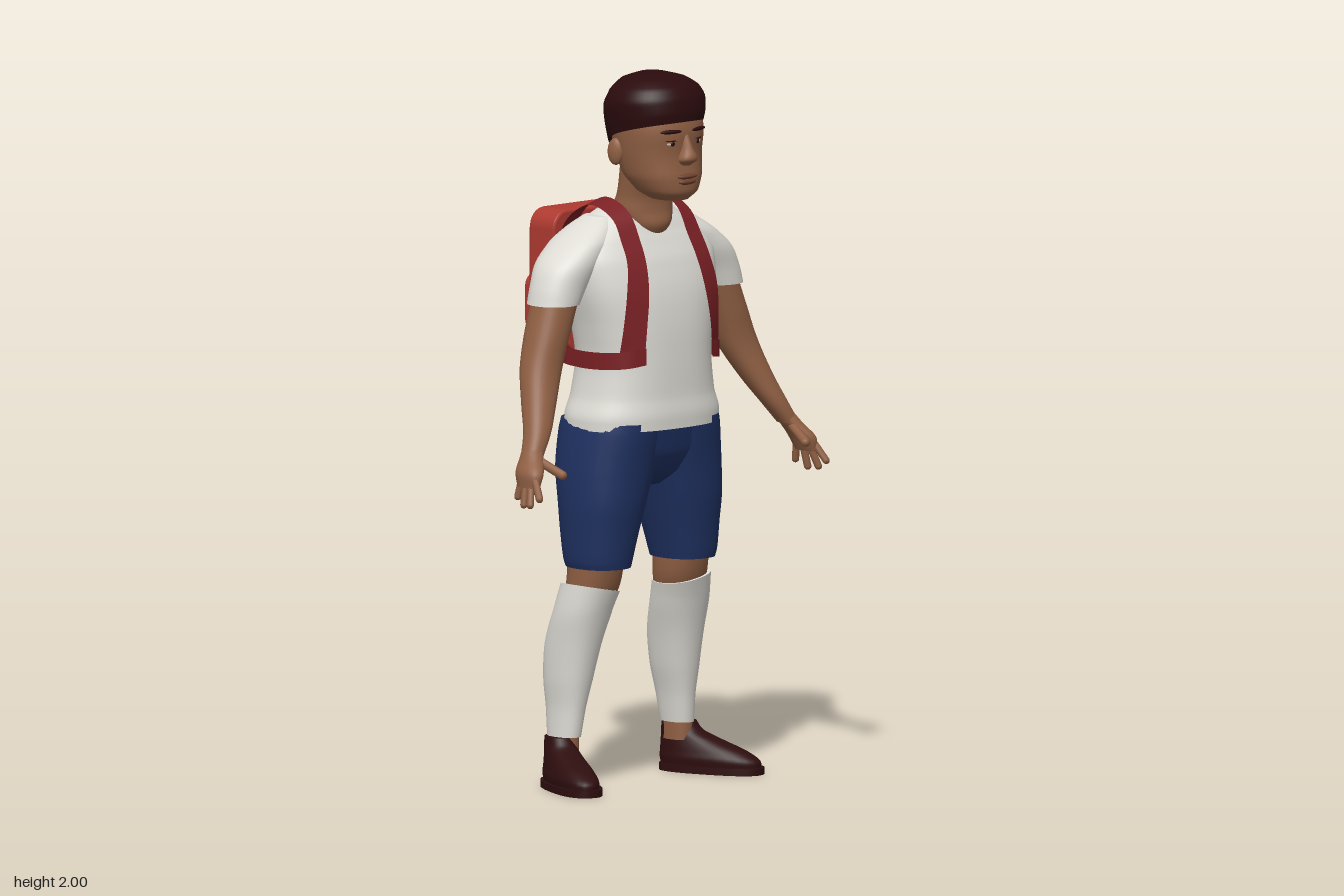
import * as THREE from 'three';

const mat = (name, color, side = THREE.FrontSide) => {
  const m = new THREE.MeshStandardMaterial({ color, side });
  m.name = name;
  return m;
};

// Smooth body through horizontal oval rings, listed bottom to top: [y, x0, x1, z0, z1]
function loft(rings, { s = 1, e = 0.9, n = 32, steps = 5, rule = null } = {}) {
  const centre = new THREE.CatmullRomCurve3(rings.map(([y, a, b, c, d]) =>
    new THREE.Vector3(s * (a + b) / 2, y, (c + d) / 2)));
  const size = new THREE.CatmullRomCurve3(rings.map(([, a, b, c, d]) =>
    new THREE.Vector3((b - a) / 2, 0, (d - c) / 2)));
  const rows = (rings.length - 1) * steps;
  const pos = [], idx = [];
  const bend = (v) => Math.sign(v) * Math.abs(v) ** e;
  const addRing = (t) => {
    const c = centre.getPoint(t), r = size.getPoint(t);
    for (let j = 0; j < n; j++) {
      const a = (j / n) * Math.PI * 2;
      const p = new THREE.Vector3(c.x + r.x * bend(Math.cos(a)), c.y, c.z + r.z * bend(Math.sin(a)));
      if (rule) rule(p);
      pos.push(p.x, p.y, p.z);
    }
    return c;
  };
  for (let i = 0; i <= rows; i++) addRing(i / rows);
  for (let i = 0; i < rows; i++) {
    for (let j = 0; j < n; j++) {
      const a = i * n + j, b = i * n + (j + 1) % n;
      idx.push(a, a + n, b, b, a + n, b + n);
    }
  }
  // Closing caps with their own corners, so the rims stay sharp
  for (const t of [0, 1]) {
    const start = pos.length / 3;
    const c = addRing(t);
    if (rule) rule(c);
    pos.push(c.x, c.y, c.z);
    for (let j = 0; j < n; j++) {
      const a = start + j, b = start + (j + 1) % n;
      idx.push(start + n, t ? b : a, t ? a : b);
    }
  }
  const g = new THREE.BufferGeometry();
  g.setAttribute('position', new THREE.Float32BufferAttribute(pos, 3));
  g.setIndex(idx);
  g.computeVertexNormals();
  return g;
}

// Flat band between two edge curves
function ribbon(edgeA, edgeB, s, steps = 40) {
  const curve = (pts) => new THREE.CatmullRomCurve3(pts.map(([x, y, z]) => new THREE.Vector3(s * x, y, z)));
  const a = curve(edgeA), b = curve(edgeB), pos = [], idx = [];
  for (let i = 0; i <= steps; i++) {
    pos.push(...a.getPoint(i / steps).toArray(), ...b.getPoint(i / steps).toArray());
    const k = i * 2;
    if (i < steps) idx.push(...(s > 0 ? [k, k + 2, k + 1, k + 1, k + 2, k + 3] : [k, k + 1, k + 2, k + 1, k + 3, k + 2]));
  }
  const g = new THREE.BufferGeometry();
  g.setAttribute('position', new THREE.Float32BufferAttribute(pos, 3));
  g.setIndex(idx);
  g.computeVertexNormals();
  return g;
}

// Rounded slab for the bag, from z0 (back) to z1
function slab(hw, y0, y1, z0, z1, r) {
  const b = 0.006, w = hw - b, lo = y0 + b, hi = y1 - b;
  const shape = new THREE.Shape();
  shape.moveTo(-w + r, lo).lineTo(w - r, lo).absarc(w - r, lo + r, r, -Math.PI / 2, 0);
  shape.absarc(w - r, hi - r, r, 0, Math.PI / 2).absarc(-w + r, hi - r, r, Math.PI / 2, Math.PI);
  shape.absarc(-w + r, lo + r, r, Math.PI, Math.PI * 1.5);
  return new THREE.ExtrudeGeometry(shape, {
    depth: z1 - z0 - 2 * b, bevelThickness: b, bevelSize: b, bevelSegments: 2, curveSegments: 8,
  }).translate(0, 0, z0 + b);
}

export function createModel() {
  const skin = mat('skin', 0x8f5f43), lip = mat('lip', 0x6e412f), eyeWhite = mat('eye white', 0xd2c8bc);
  const cloth = mat('white cloth', 0xdedcd5), navy = mat('navy cloth', 0x1f3161);
  const hairMat = mat('dark hair', 0x2b0b0d), leather = mat('dark leather', 0x2e0e0f);
  const strapMat = mat('dark red strap', 0x7a2024, THREE.DoubleSide), bagMat = mat('red bag', 0xae3a31);

  const model = new THREE.Group();
  const add = (name, geometry, material) => {
    const m = new THREE.Mesh(geometry, material);
    m.name = name;
    model.add(m);
    return m;
  };
  const ball = (name, material, p, r, turn = 0) => {
    const m = add(name, new THREE.SphereGeometry(1, 20, 14).scale(...r), material);
    m.position.set(...p);
    m.rotation.y = turn;
  };
  const sym = (rows) => rows.map(([y, x, z0, z1]) => [y, -x, x, z0, z1]);

  // Torso and hips
  add('shirt', loft(sym([[1.01, .232, -.08, .242], [1.04, .232, -.08, .243], [1.1, .213, -.07, .237],
    [1.2, .2, -.06, .235], [1.3, .215, -.065, .23], [1.4, .24, -.07, .215], [1.48, .25, -.07, .19],
    [1.54, .225, -.06, .16], [1.58, .165, -.05, .14], [1.605, .125, -.03, .125], [1.63, .09, 0, .11]]), { e: 0.8, n: 48 }), cloth);
  add('shortsSeat', loft(sym([[.84, .07, .0, .13], [.88, .15, -.055, .18], [.94, .225, -.072, .21],
    [1.03, .225, -.075, .228]]), { e: 0.85 }), navy);

  // Neck and head
  add('neck', loft(sym([[1.54, .05, 0, .15], [1.575, .075, .0, .165], [1.61, .088, .005, .158],
    [1.66, .084, .03, .16], [1.75, .09, .045, .2]])), skin);
  add('head', loft(sym([[1.652, .045, .14, .25], [1.675, .08, .1, .27], [1.72, .106, .06, .272],
    [1.78, .118, .035, .264], [1.85, .125, .02, .268], [1.92, .12, .02, .25], [1.97, .08, .05, .22]]), { e: 0.88 }), skin);
  add('nose', loft(sym([[1.752, .018, .23, .274], [1.77, .029, .23, .297], [1.8, .017, .23, .287],
    [1.84, .011, .23, .268]]), { n: 16 }), skin);
  ball('upperLip', lip, [0, 1.721, .268], [.036, .008, .014]);
  ball('lowerLip', lip, [0, 1.706, .268], [.032, .009, .013]);

  // Hair, with a hairline that climbs from nape to forehead
  const hairline = (p) => {
    const t = Math.min(1, Math.max(0, p.z / 0.27));
    const low = 1.768 + 0.107 * Math.sqrt(t) + (t < 0.15 ? 0.008 * Math.cos(p.x * 130) : 0);
    p.y = 2 - (2 - p.y) * (2 - low) / 0.23;
  };
  add('hair', loft(sym([[1.77, .126, .008, .27], [1.82, .134, .0, .273], [1.88, .139, -.002, .268],
    [1.94, .122, .015, .25], [1.98, .085, .045, .215], [2, .035, .09, .17]]), { n: 48, rule: hairline }), hairMat);

  for (const s of [1, -1]) {
    const side = s > 0 ? 'left' : 'right';

    // Face
    ball(side + 'Eye', eyeWhite, [s * .047, 1.815, .2545], [.019, .007, .006], s * .25);
    ball(side + 'Pupil', hairMat, [s * .047, 1.815, .259], [.007, .007, .004], s * .25);
    ball(side + 'Eyelid', hairMat, [s * .047, 1.823, .256], [.022, .003, .006], s * .25);
    ball(side + 'Eyebrow', hairMat, [s * .052, 1.849, .258], [.034, .006, .007], s * .27);
    ball(side + 'Ear', skin, [s * .121, 1.785, .105], [.014, .038, .024], s * -.3);

    // Arm and sleeve
    add(side + 'Sleeve', loft([[1.37, .24, .378, -.02, .128], [1.42, .21, .365, -.025, .13],
      [1.48, .16, .335, -.04, .135], [1.53, .12, .278, -.045, .13], [1.57, .1, .215, -.03, .11],
      [1.6, .09, .16, -.005, .08]], { s }), cloth);
    add(side + 'Arm', loft([[.97, .455, .513, .125, .188], [1.03, .41, .485, .1, .175], [1.1, .365, .46, .06, .152],
      [1.2, .31, .43, .015, .125], [1.3, .27, .395, -.005, .12], [1.4, .23, .36, -.01, .115]], { s }), skin);

    // Hand
    add(side + 'Palm', loft([[.89, .508, .542, .145, .228], [.93, .488, .542, .132, .228],
      [.965, .465, .52, .126, .2], [.99, .448, .505, .122, .182]], { s, n: 20 }), skin);
    const fingers = [[[.48, .96, .18], [.46, .925, .255]], [[.528, .91, .218], [.542, .865, .25]],
      [[.528, .9, .2], [.545, .845, .215]], [[.525, .9, .175], [.537, .842, .18]], [[.52, .905, .152], [.525, .86, .143]]];
    fingers.forEach(([a, b], i) => {
      const from = new THREE.Vector3(s * a[0], a[1], a[2]), to = new THREE.Vector3(s * b[0], b[1], b[2]);
      const dir = to.clone().sub(from);
      const f = add(side + (i ? 'Finger' + i : 'Thumb'), new THREE.CapsuleGeometry(i ? .0105 : .013, dir.length(), 4, 10), skin);
      f.position.copy(from).add(to).multiplyScalar(0.5);
      f.quaternion.setFromUnitVectors(new THREE.Vector3(0, 1, 0), dir.normalize());
    });

    // Leg, from shorts to shoe
    add(side + 'ShortsLeg', loft([[.62, .078, .24, -.02, .172], [.64, .073, .246, -.025, .176], [.72, .052, .252, -.04, .187],
      [.8, .03, .256, -.052, .2], [.9, .0, .252, -.075, .21], [1.0, -.02, .236, -.082, .225], [1.03, -.02, .228, -.08, .228]], { s }), navy);
    add(side + 'Knee', loft([[.5, .11, .24, -.025, .105], [.57, .09, .238, -.012, .132], [.66, .085, .235, -.01, .15]], { s }), skin);
    add(side + 'Sock', loft([[.14, .178, .25, -.06, .05], [.22, .165, .25, -.07, .06], [.3, .145, .258, -.08, .075],
      [.4, .125, .262, -.075, .095], [.5, .103, .262, -.04, .12], [.56, .093, .252, -.022, .137]],
    { s, rule: (p) => { if (p.y > .5) p.y += (s * p.x - .17) * .2 * (p.y - .5) / .06; } }), cloth);
    add(side + 'Ankle', loft([[.09, .182, .25, -.055, .045], [.155, .184, .246, -.054, .044]], { s }), skin);

    // Shoe, turned outward
    const shoe = new THREE.Group();
    shoe.name = side + 'Shoe';
    shoe.position.set(s * .265, 0, .08);
    shoe.rotation.y = s * .39;
    model.add(shoe);
    const upper = new THREE.Mesh(loft(sym([[.015, .056, -.152, .15], [.035, .059, -.155, .148], [.06, .054, -.154, .11],
      [.09, .046, -.152, .03], [.115, .041, -.15, -.03], [.14, .037, -.148, -.05]])), leather);
    upper.name = side + 'ShoeUpper';
    const sole = new THREE.Mesh(loft(sym([[0, .064, -.155, .157], [.02, .064, -.155, .157]]), { e: 0.8, steps: 1 }), leather);
    sole.name = side + 'Sole';
    shoe.add(upper, sole);

    // Shoulder strap, from the bag over the shoulder and down the chest
    add(side + 'ShoulderStrap', ribbon(
      [[.1, 1.52, -.09], [.095, 1.575, -.072], [.09, 1.625, -.025], [.09, 1.647, .04], [.09, 1.612, .128],
        [.09, 1.54, .172], [.095, 1.48, .203], [.105, 1.4, .226], [.12, 1.3, .234], [.128, 1.21, .232]],
      [[.15, 1.52, -.09], [.155, 1.562, -.072], [.152, 1.608, -.025], [.15, 1.63, .04], [.147, 1.597, .122],
        [.15, 1.54, .16], [.155, 1.48, .191], [.17, 1.4, .206], [.18, 1.3, .202], [.188, 1.21, .19]], s), strapMat);

    // Lower strap, around the ribs to the bag
    const path = [[.125, 1.222, .236], [.167, 1.215, .217], [.197, 1.21, .18], [.214, 1.207, .12],
      [.216, 1.207, .05], [.206, 1.212, -.02], [.162, 1.232, -.068], [.12, 1.24, -.09]];
    add(side + 'LowerStrap', ribbon(path.map(([x, y, z]) => [x, y + .024, z]),
      path.map(([x, y, z]) => [x, y - .024, z]), s), strapMat);
  }

  // Backpack with raised rims and a front pocket
  add('bagBody', slab(.128, 1.2, 1.565, -.243, -.08, .03), bagMat);
  add('bagRim', slab(.155, 1.175, 1.595, -.212, -.11, .045), bagMat);
  add('pocketBody', slab(.095, 1.25, 1.385, -.297, -.235, .025), bagMat);
  add('pocketRim', slab(.108, 1.235, 1.4, -.283, -.255, .03), bagMat);

  return model;
}
